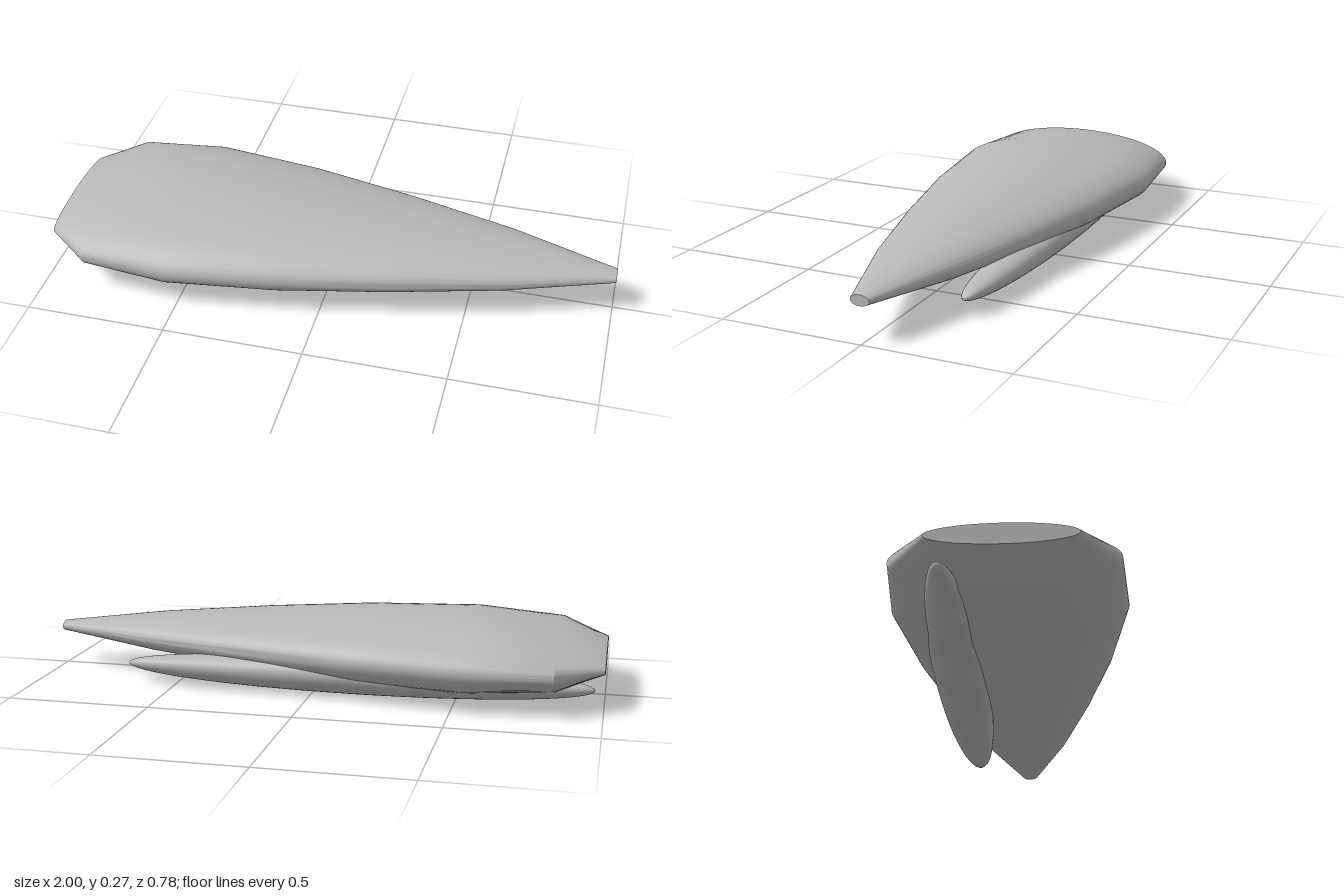
import * as THREE from 'three';
import { toCreasedNormals } from 'three/addons/utils/BufferGeometryUtils.js';

// Hull stations: x, half height, half width
const STATIONS = [
  [-1, 0.036, 0.235],
  [-0.84, 0.103, 0.362],
  [-0.535, 0.129, 0.388],
  [-0.15, 0.122, 0.336],
  [0.235, 0.098, 0.255],
  [0.62, 0.065, 0.158],
  [1, 0.018, 0.033],
];

// A capped unit cylinder along x whose rings are moved to the stations
function createHullGeometry() {
  const spans = STATIONS.length - 1;
  const geometry = new THREE.CylinderGeometry(1, 1, 1, 72, spans);
  geometry.rotateZ(-Math.PI / 2);
  const p = geometry.attributes.position;
  for (let i = 0; i < p.count; i++) {
    const [x, h, w] = STATIONS[Math.round((p.getX(i) + 0.5) * spans)];
    p.setXYZ(i, x, p.getY(i) * h, p.getZ(i) * w);
  }
  return toCreasedNormals(geometry, 0.5);
}

export function createModel() {
  const group = new THREE.Group();
  const grey = new THREE.MeshStandardMaterial({ color: 0xb8b8b8 });
  grey.name = 'grey';

  // Flattened, tapering main body
  const hull = new THREE.Mesh(createHullGeometry(), grey);
  hull.name = 'hull';
  hull.position.y = 0.145;
  group.add(hull);

  // Long slim pod under one side, rolled slightly to follow the hull
  const podGeometry = new THREE.SphereGeometry(1, 40, 32);
  podGeometry.rotateZ(-Math.PI / 2);
  const pod = new THREE.Mesh(podGeometry, grey);
  pod.name = 'undersidePod';
  pod.scale.set(0.825, 0.063, 0.097);
  pod.rotation.x = 0.25;
  pod.position.set(-0.145, 0.067, -0.19);
  group.add(pod);

  return group;
}
